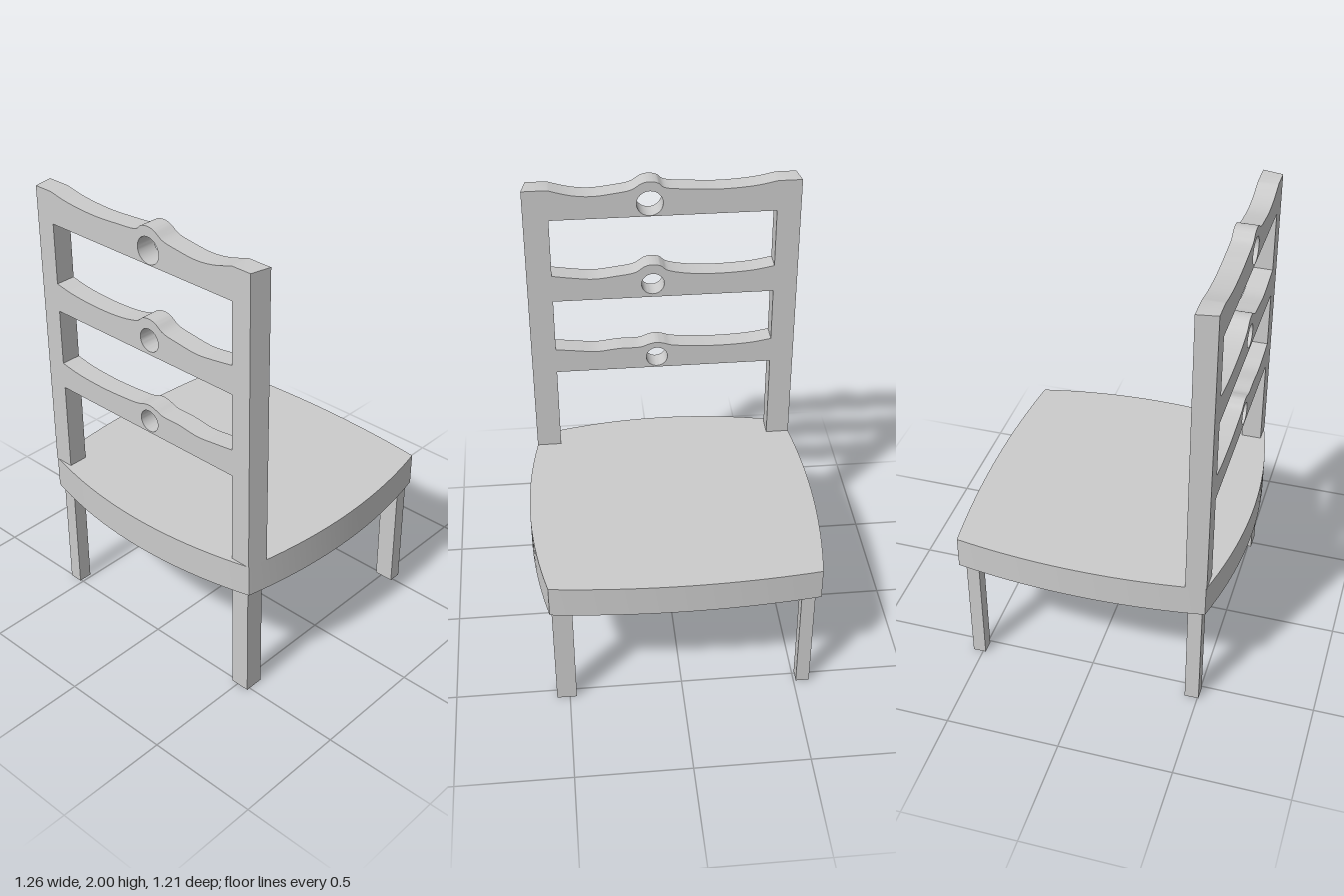
import * as THREE from 'three';
import { toCreasedNormals } from 'three/addons/utils/BufferGeometryUtils.js';

const material = new THREE.MeshStandardMaterial({ color: 0xcccccc });
const SEAT_BOTTOM = 0.525, SEAT_TOP = 0.67;
const BACK_Z0 = 0.435, BACK_Z1 = 0.523;
const INNER_L = -0.5, INNER_R = 0.475; // inner faces of the posts

function addPart(group, name, geometry) {
  const mesh = new THREE.Mesh(toCreasedNormals(geometry, 0.5), material);
  mesh.name = name;
  group.add(mesh);
}

// Seat: four corners joined by bowed edges
function seatGeometry() {
  const s = new THREE.Shape();
  s.moveTo(-0.59, -0.52);
  s.quadraticCurveTo(-0.01, -0.68, 0.565, -0.52);
  s.quadraticCurveTo(0.695, 0.025, 0.565, 0.57);
  s.quadraticCurveTo(-0.01, 0.64, -0.59, 0.57);
  s.quadraticCurveTo(-0.68, 0.025, -0.59, -0.52);
  const g = new THREE.ExtrudeGeometry(s, { depth: SEAT_TOP - SEAT_BOTTOM, bevelEnabled: false, curveSegments: 20 });
  return g.rotateX(-Math.PI / 2).translate(0, SEAT_BOTTOM, 0);
}

// Rails, top to bottom: underside, end height, left and right dips, shoulder, bump, hole
const rails = [
  { under: 1.84, end: 1.98, dipL: 1.953, dipR: 1.944, shoulder: 1.969, peak: 2.0, x: 0.045, holeY: 1.9, r: 0.057 },
  { under: 1.445, end: 1.572, dipL: 1.548, dipR: 1.548, shoulder: 1.573, peak: 1.605, x: 0.035, holeY: 1.51, r: 0.05 },
  { under: 1.075, end: 1.195, dipL: 1.174, dipR: 1.174, shoulder: 1.188, peak: 1.206, x: 0.02, holeY: 1.13, r: 0.048 },
];

// Wavy upper edge of a rail, from the left post to the right post
function railTop(r) {
  const curve = new THREE.SplineCurve([
    [INNER_L, r.end], [-0.4, (r.end + r.dipL) / 2 - 0.005], [-0.26, r.dipL], [-0.13, r.dipL + 0.006],
    [r.x - 0.07, r.shoulder], [r.x - 0.035, r.peak - 0.007], [r.x, r.peak], [r.x + 0.035, r.peak - 0.007],
    [r.x + 0.08, r.shoulder - 0.003], [0.19, r.dipR + 0.01], [0.29, r.dipR], [0.38, r.dipR + 0.009], [INNER_R, r.end],
  ].map(([x, y]) => new THREE.Vector2(x, y)));
  return curve.getPoints(72);
}

// Backrest: one outline with windows and round holes, open at the foot
function backGeometry() {
  const outerL = -0.604, outerR = 0.584;
  const pts = [[outerL, SEAT_TOP], [INNER_L, SEAT_TOP], [INNER_L, rails[2].under], [INNER_R, rails[2].under],
    [INNER_R, SEAT_TOP], [outerR, SEAT_TOP], [outerR, rails[0].end]].map(([x, y]) => new THREE.Vector2(x, y));
  pts.push(...railTop(rails[0]).reverse(), new THREE.Vector2(outerL, rails[0].end));
  const shape = new THREE.Shape(pts);

  rails.forEach((r, i) => {
    shape.holes.push(new THREE.Path().absarc(r.x, r.holeY, r.r, 0, Math.PI * 2, true));
    if (i > 0) {
      const top = rails[i - 1].under;
      shape.holes.push(new THREE.Path([...railTop(r),
        new THREE.Vector2(INNER_R, top), new THREE.Vector2(INNER_L, top)]));
    }
  });

  const g = new THREE.ExtrudeGeometry(shape, { depth: BACK_Z1 - BACK_Z0, bevelEnabled: false, curveSegments: 20 });
  g.translate(0, 0, BACK_Z0);
  // Taper the outer sides so they follow the seat edge
  const p = g.attributes.position;
  for (let i = 0; i < p.count; i++) {
    if (p.getZ(i) < BACK_Z1 - 0.01) continue;
    if (p.getX(i) < -0.55) p.setX(i, -0.59);
    if (p.getX(i) > 0.55) p.setX(i, 0.565);
  }
  return g;
}

export function createModel() {
  const chair = new THREE.Group();
  chair.name = 'chair';
  addPart(chair, 'seat', seatGeometry());
  addPart(chair, 'backrest', backGeometry());

  // Legs: name, x range, z range
  const legs = [
    ['legUnderBackrestLeft', 0.47, 0.555, 0.43, 0.515],
    ['legUnderBackrestRight', -0.573, -0.513, 0.443, 0.505],
    ['legUnderSeatEdgeLeft', 0.47, 0.557, -0.545, -0.488],
    ['legUnderSeatEdgeRight', -0.57, -0.511, -0.545, -0.488],
  ];
  for (const [name, x0, x1, z0, z1] of legs) {
    const g = new THREE.BoxGeometry(x1 - x0, SEAT_BOTTOM, z1 - z0);
    addPart(chair, name, g.translate((x0 + x1) / 2, SEAT_BOTTOM / 2, (z0 + z1) / 2));
  }
  return chair;
}
